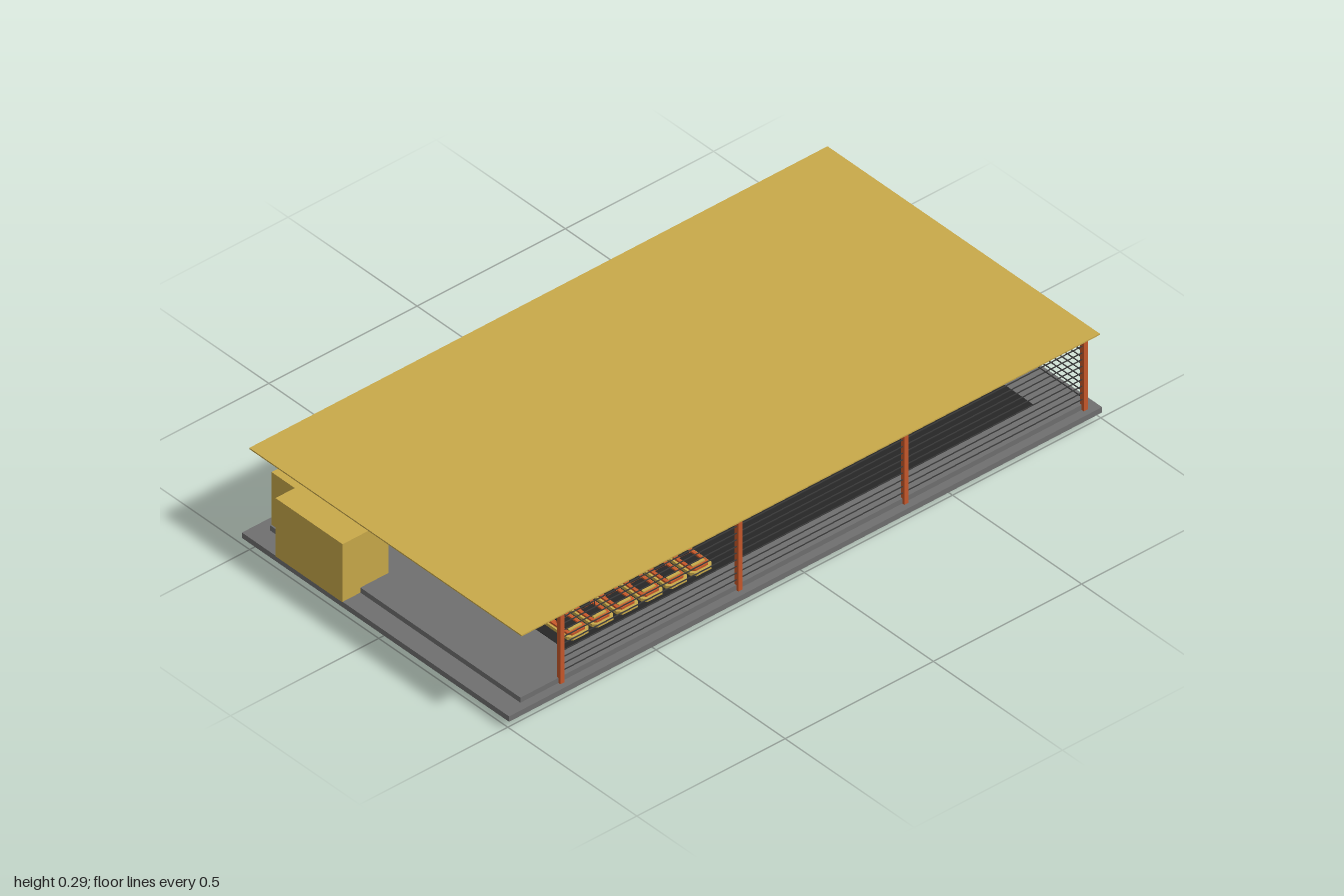
import * as THREE from 'three';

const mat = (color) => new THREE.MeshStandardMaterial({ color });
const GREY = mat(0x707070), DARK = mat(0x262626), WIRE = mat(0x3a3a3a);
const YELLOW = mat(0xc9a94a), ORANGE = mat(0xc8582a);

// Box given by its minimum and maximum on each axis
function box(name, material, x0, x1, y0, y1, z0, z1) {
  const mesh = new THREE.Mesh(new THREE.BoxGeometry(x1 - x0, y1 - y0, z1 - z0), material);
  mesh.position.set((x0 + x1) / 2, (y0 + y1) / 2, (z0 + z1) / 2);
  mesh.name = name;
  return mesh;
}

// Car plan: tapered nose towards -x, blunt tail towards +x
function carPlan(l, w) {
  const s = new THREE.Shape();
  s.moveTo(l, -w * 0.7);
  s.lineTo(l, w * 0.7);
  s.lineTo(l * 0.8, w);
  s.lineTo(-l * 0.55, w);
  s.lineTo(-l, w * 0.5);
  s.lineTo(-l, -w * 0.5);
  s.lineTo(-l * 0.55, -w);
  s.lineTo(l * 0.8, -w);
  s.closePath();
  return s;
}

function slab(name, material, shape, y, depth) {
  const geo = new THREE.ExtrudeGeometry(shape, { depth, bevelEnabled: false });
  geo.rotateX(-Math.PI / 2);
  const mesh = new THREE.Mesh(geo, material);
  mesh.position.y = y;
  mesh.name = name;
  return mesh;
}

function makeCar(withPole) {
  const car = new THREE.Group();
  car.name = 'bumperCar';
  car.add(slab('bumper', YELLOW, carPlan(0.065, 0.036), 0.002, 0.009));

  // Body ring around an open cockpit
  const body = carPlan(0.056, 0.03);
  const cockpit = new THREE.Path();
  cockpit.moveTo(-0.012, -0.021);
  cockpit.lineTo(-0.012, 0.021);
  cockpit.lineTo(0.042, 0.021);
  cockpit.lineTo(0.042, -0.021);
  cockpit.closePath();
  body.holes.push(cockpit);
  car.add(slab('body', ORANGE, body, 0.011, 0.006));
  car.add(box('cockpitFloor', DARK, -0.012, 0.042, 0.011, 0.012, -0.021, 0.021));
  car.add(box('seat', DARK, 0.022, 0.036, 0.012, 0.016, -0.018, 0.018));
  car.add(box('seatBack', YELLOW, 0.036, 0.044, 0.012, 0.021, -0.021, 0.021));
  car.add(box('dashboard', DARK, -0.018, -0.01, 0.015, 0.02, -0.016, 0.016));
  if (withPole) car.add(box('pole', WIRE, 0.0195, 0.0215, 0.012, 0.107, -0.001, 0.001));
  return car;
}

export function createModel() {
  const model = new THREE.Group();
  model.name = 'bumperCarPavilion';

  // Stepped platform and driving floor
  model.add(box('foundation', GREY, -0.49, 0.48, 0, 0.02, -0.97, 0.94));
  model.add(box('walkway', GREY, -0.53, 0.505, 0.02, 0.037, -1, 1));
  model.add(box('deck', GREY, -0.49, 0.48, 0.037, 0.053, -0.97, 0.94));
  model.add(box('drivingFloor', DARK, -0.4, 0.4, 0.05, 0.0545, -0.86, 0.72));

  // Roof sheet
  model.add(box('roof', YELLOW, -0.53, 0.525, 0.29, 0.294, -0.975, 0.975));

  // Posts along both long sides
  for (const x of [-0.482, 0.481]) {
    for (const z of [0.805, 0.205, -0.355, -0.96]) {
      model.add(box('post', ORANGE, x - 0.007, x + 0.007, 0.037, 0.29, z - 0.007, z + 0.007));
    }
  }

  // Fence wires on both long sides and the back
  const t = 0.0012;
  for (let i = 0; i < 11; i++) {
    const y = 0.071 + i * 0.0211;
    model.add(box('backWire', WIRE, -0.482, 0.481, y - t, y + t, -0.96 - t, -0.96 + t));
    for (const x of [-0.482, 0.481]) {
      model.add(box('sideWire', WIRE, x - t, x + t, y - t, y + t, -0.96, 0.805));
    }
  }

  // Ticket booth with a set-back wing and a rear window
  const booth = new THREE.Group();
  booth.name = 'ticketBooth';
  booth.add(box('boothMain', YELLOW, -0.4, -0.14, 0.035, 0.22, 0.845, 1));
  booth.add(box('boothWing', YELLOW, -0.49, -0.4, 0.035, 0.22, 0.845, 0.935));
  booth.add(box('boothWindow', DARK, -0.41, -0.36, 0.12, 0.155, 0.843, 0.847));
  model.add(booth);

  // Two facing rows of parked cars
  for (const side of [1, -1]) {
    for (let i = 0; i < 6; i++) {
      const car = makeCar(i === 1);
      car.position.set(side * 0.323, 0.053, 0.655 - i * 0.083);
      if (side < 0) car.rotation.y = Math.PI;
      model.add(car);
    }
  }
  return model;
}
